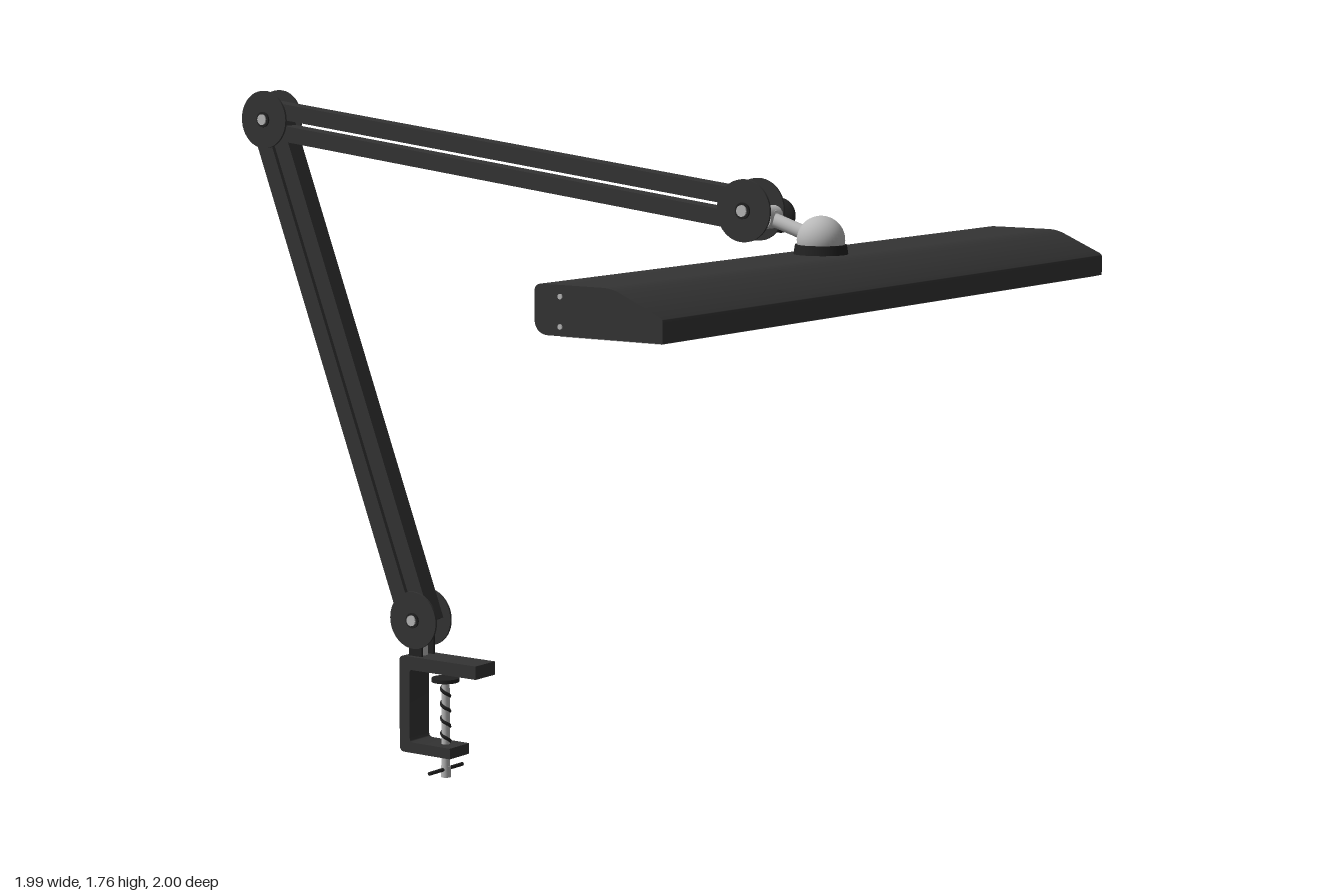
import * as THREE from 'three';
import { toCreasedNormals } from 'three/addons/utils/BufferGeometryUtils.js';

const paint = (name, color) => Object.assign(new THREE.MeshStandardMaterial({ color }), { name });

export function createModel() {
  const black = paint('black enamel', 0x343434);
  const dark = paint('dark plastic', 0x222222);
  const metal = paint('light metal', 0xb8b8b8);
  const diffuser = paint('pale diffuser', 0xc2c2c2);

  const lamp = new THREE.Group();
  lamp.name = 'deskLamp';
  const stand = new THREE.Group();
  stand.name = 'stand';
  stand.position.x = -0.004;
  lamp.add(stand);

  const add = (parent, name, geometry, material, x = 0, y = 0, z = 0) => {
    const mesh = new THREE.Mesh(geometry, material);
    mesh.name = name;
    mesh.position.set(x, y, z);
    parent.add(mesh);
    return mesh;
  };
  // Disc or pin lying along x
  const pin = (r, length, sides = 32) => new THREE.CylinderGeometry(r, r, length, sides).rotateZ(Math.PI / 2);
  // Side profile drawn as (-z, y), extruded along x and centred
  const sideProfile = (shape, width) => {
    const g = new THREE.ExtrudeGeometry(shape, { depth: width, bevelEnabled: false, curveSegments: 8 });
    return toCreasedNormals(g.translate(0, 0, -width / 2).rotateY(Math.PI / 2), 0.6);
  };
  // Rod between two points
  const rod = (name, a, b, r, material) => {
    const dir = b.clone().sub(a);
    const mesh = add(stand, name, new THREE.CylinderGeometry(r, r, dir.length(), 20), material);
    mesh.position.copy(a).add(b).multiplyScalar(0.5);
    mesh.quaternion.setFromUnitVectors(new THREE.Vector3(0, 1, 0), dir.normalize());
  };

  // Pivots
  const base = new THREE.Vector3(0, 0.41, -0.435);
  const elbow = new THREE.Vector3(0, 1.69, -0.925);
  const wrist = new THREE.Vector3(0, 1.515, 0.575);
  for (const [name, p] of [['base', base], ['elbow', elbow], ['wrist', wrist]]) {
    const joint = new THREE.Group();
    joint.name = name + 'Joint';
    joint.position.copy(p);
    stand.add(joint);
    for (const s of [-1, 1]) {
      add(joint, 'jointPlate', pin(0.075, 0.006, 48), black, s * 0.031);
      add(joint, 'jointBoss', pin(0.02, 0.006, 24), dark, s * 0.036);
      add(joint, 'jointBolt', pin(0.014, 0.005, 16), metal, s * 0.0405);
    }
    add(joint, 'jointAxle', pin(0.014, 0.06, 16), metal);
  }
  add(stand, 'elbowCore', pin(0.045, 0.054), dark, 0, elbow.y, elbow.z);

  // Pairs of parallel arm bars; trim values lengthen or shorten each end
  const armPair = (name, a, b, thickness, trimA, trimB) => {
    const d = b.clone().sub(a);
    const arm = new THREE.Group();
    arm.name = name;
    arm.position.copy(a).add(b).multiplyScalar(0.5);
    arm.rotation.x = Math.atan2(d.z, d.y);
    stand.add(arm);
    const bar = new THREE.BoxGeometry(0.053, d.length() + trimA + trimB, thickness);
    for (const s of [-1, 1]) {
      add(arm, 'armBar', bar, black, 0, (trimB - trimA) / 2, s * 0.028);
    }
  };
  armPair('lowerArm', base, elbow, 0.047, 0.015, 0.015);
  armPair('upperArm', elbow, wrist, 0.041, 0.03, -0.05);

  // Table clamp
  const c = new THREE.Shape();
  c.moveTo(0.225, 0.28);
  c.lineTo(0.225, 0.315);
  c.lineTo(0.46, 0.315);
  c.quadraticCurveTo(0.475, 0.315, 0.475, 0.3);
  c.lineTo(0.475, 0.075);
  c.quadraticCurveTo(0.475, 0.06, 0.46, 0.06);
  c.lineTo(0.31, 0.06);
  c.lineTo(0.31, 0.088);
  c.lineTo(0.43, 0.088);
  c.quadraticCurveTo(0.442, 0.088, 0.442, 0.1);
  c.lineTo(0.442, 0.27);
  c.quadraticCurveTo(0.442, 0.28, 0.432, 0.28);
  add(stand, 'clampFrame', sideProfile(c, 0.082), black);
  add(stand, 'clampPost', new THREE.CylinderGeometry(0.018, 0.018, 0.1, 20), metal, 0, 0.36, -0.435);
  for (const s of [-1, 1]) {
    add(stand, 'postCheek', new THREE.BoxGeometry(0.006, 0.07, 0.042), dark, s * 0.025, 0.345, -0.432);
  }

  // Clamp screw with thread, pressure pad and tommy bar
  const sz = -0.355;
  add(stand, 'clampScrew', new THREE.CylinderGeometry(0.011, 0.011, 0.25, 20), metal, 0, 0.132, sz);
  const turns = [];
  for (let i = 0; i <= 48; i++) {
    const t = (i / 12) * Math.PI * 2;
    turns.push(new THREE.Vector3(0.01 * Math.cos(t), 0.09 + i * 0.0033, 0.01 * Math.sin(t)));
  }
  add(stand, 'screwThread', new THREE.TubeGeometry(new THREE.CatmullRomCurve3(turns), 120, 0.005, 6), dark, 0, 0, sz);
  add(stand, 'pressurePad', new THREE.CylinderGeometry(0.036, 0.036, 0.01, 28), dark, 0, 0.258, sz);
  add(stand, 'screwFoot', new THREE.CylinderGeometry(0.013, 0.013, 0.03, 20), metal, 0, 0.015, sz);
  add(stand, 'tommyBar', pin(0.005, 0.14, 12), dark, 0, 0.021, sz);

  // Wrist fork, tightening knob and ball joint
  add(stand, 'wristBlock', pin(0.028, 0.054, 24), metal, 0, 1.5, 0.622);
  rod('wristLink', new THREE.Vector3(0, 1.515, 0.575), new THREE.Vector3(0, 1.495, 0.64), 0.022, metal);
  rod('ballStem', new THREE.Vector3(0, 1.495, 0.64), new THREE.Vector3(0, 1.455, 0.765), 0.017, metal);
  add(stand, 'knobShaft', pin(0.012, 0.05, 16), metal, 0.04, 1.5, 0.615);
  add(stand, 'tighteningKnob', new THREE.SphereGeometry(1, 24, 16).scale(0.016, 0.042, 0.042), dark, 0.068, 1.5, 0.615);
  add(stand, 'ballJoint', new THREE.SphereGeometry(0.057, 36, 24), metal, 0, 1.453, 0.772);
  add(stand, 'ballSeat', new THREE.CylinderGeometry(0.061, 0.065, 0.025, 36), dark, 0, 1.43, 0.772);

  // Long lamp head
  const head = new THREE.Group();
  head.name = 'lampHead';
  head.position.x = -0.005;
  lamp.add(head);
  const h = new THREE.Shape();
  h.moveTo(-1, 1.31);
  h.lineTo(-1, 1.355);
  h.quadraticCurveTo(-1, 1.362, -0.992, 1.366);
  h.lineTo(-0.89, 1.411);
  h.quadraticCurveTo(-0.868, 1.42, -0.845, 1.42);
  h.lineTo(-0.685, 1.42);
  h.quadraticCurveTo(-0.666, 1.42, -0.666, 1.4);
  h.lineTo(-0.666, 1.345);
  h.quadraticCurveTo(-0.668, 1.312, -0.7, 1.31);
  add(head, 'headShell', sideProfile(h, 1.98), black);
  add(head, 'diffuserPanel', new THREE.BoxGeometry(1.96, 0.004, 0.26), diffuser, 0, 1.3095, 0.86);

  // End fittings: cap screws and switch
  for (const s of [-1, 1]) {
    for (const y of [1.395, 1.33]) {
      add(head, 'capScrew', pin(0.006, 0.004, 12), metal, s * 0.9905, y, 0.735);
    }
  }
  add(head, 'endSwitch', pin(0.026, 0.01, 28), dark, 0.993, 1.363, 0.735);
  add(head, 'switchButton', pin(0.015, 0.004, 24), black, 0.998, 1.363, 0.735);
  return lamp;
}
